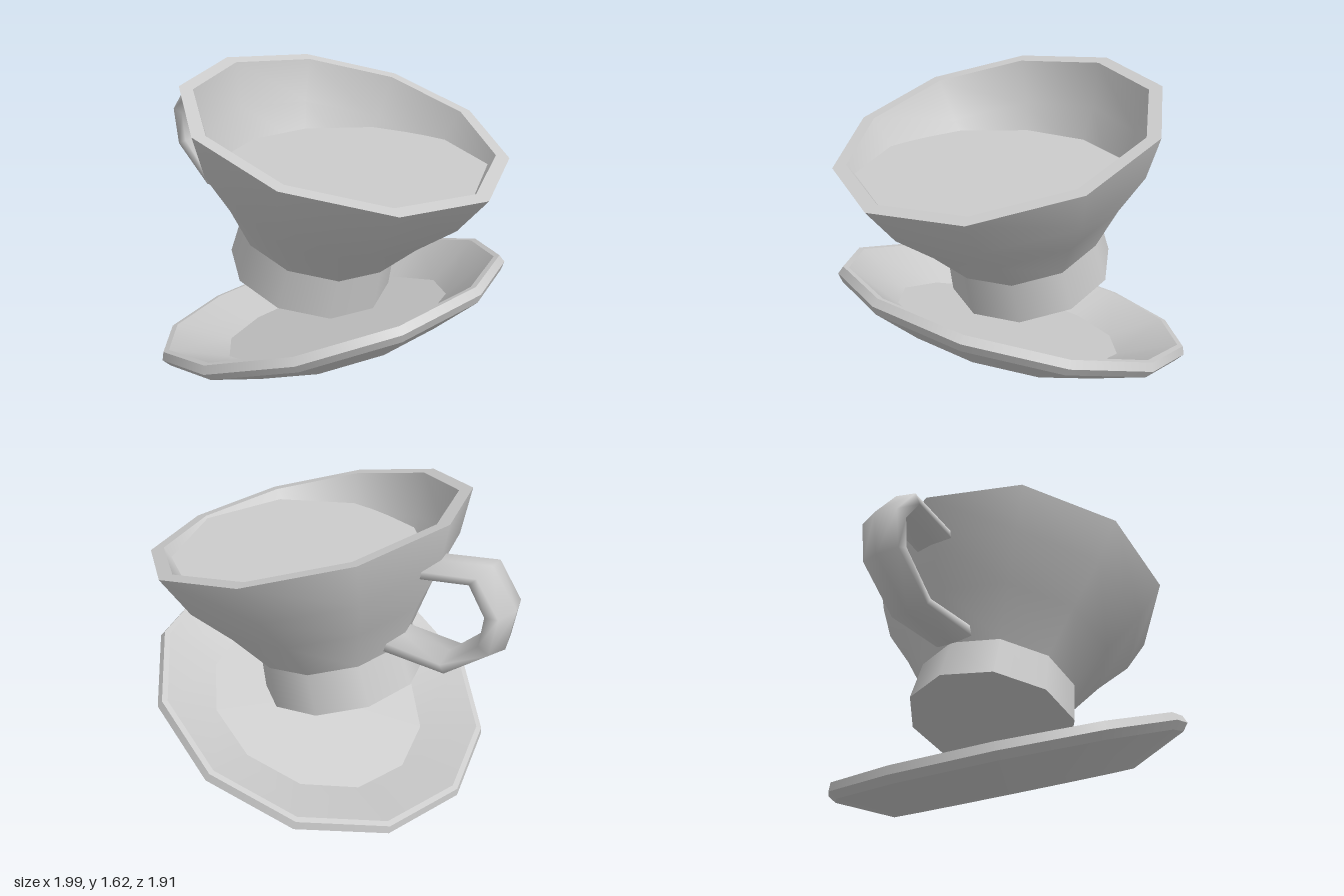
import * as THREE from 'three';
import { mergeGeometries } from 'three/addons/utils/BufferGeometryUtils.js';

const grey = () => new THREE.MeshStandardMaterial({ color: 0xcccccc });

// Turned part: every strip is its own lathe, so edges between strips stay sharp.
function turned(name, sides, strips) {
  const lathes = strips.map((strip) => new THREE.LatheGeometry(
    strip.map(([r, y]) => new THREE.Vector2(r, y)), sides, Math.PI / 2));
  const mesh = new THREE.Mesh(mergeGeometries(lathes), grey());
  mesh.name = name;
  return mesh;
}

// Hexagonal tube through pairs of outer and inner points in the xy plane.
function handleGeometry(pairs, depth) {
  const sides = 6, pos = [], index = [];
  pairs.forEach(([ox, oy, ix, iy], i) => {
    for (let j = 0; j < sides; j++) {
      const a = (j / sides) * Math.PI * 2, c = Math.cos(a) / 2;
      pos.push((ox + ix) / 2 + (ox - ix) * c, (oy + iy) / 2 + (oy - iy) * c, depth * Math.sin(a));
      if (i === pairs.length - 1) continue;
      const p = i * sides + j, q = i * sides + (j + 1) % sides;
      index.push(p, p + sides, q, q, p + sides, q + sides);
    }
  });
  const geo = new THREE.BufferGeometry();
  geo.setAttribute('position', new THREE.Float32BufferAttribute(pos, 3));
  geo.setIndex(index);
  geo.computeVertexNormals();
  return geo;
}

export function createModel() {
  const model = new THREE.Group();
  model.name = 'tiltedCupAndSaucer';

  // Saucer: base, flared underside, bevelled edge, dish and floor
  const saucer = turned('saucer', 12, [
    [[0, 0], [0.635, 0]],
    [[0.635, 0], [0.927, 0.135]],
    [[0.927, 0.135], [0.957, 0.175]],
    [[0.957, 0.175], [0.94, 0.215]],
    [[0.94, 0.215], [0.91, 0.215]],
    [[0.91, 0.215], [0.62, 0.07]],
    [[0.62, 0.07], [0, 0.07]],
  ]);
  saucer.position.set(0.148, 0.225, 0);
  saucer.rotation.z = THREE.MathUtils.degToRad(20);
  model.add(saucer);

  // Cup tilted the other way, origin at its waist
  const cup = new THREE.Group();
  cup.name = 'cup';
  cup.position.set(0.005, 0.762, 0);
  cup.rotation.z = THREE.MathUtils.degToRad(-15);
  cup.add(turned('bowl', 10, [
    [[0.42, 0], [0.574, 0.234], [0.74, 0.446], [0.838, 0.667]],
    [[0.838, 0.667], [0.768, 0.667]],
    [[0.768, 0.667], [0.675, 0.446], [0.51, 0.234], [0.36, 0.04]],
    [[0.36, 0.04], [0, 0.04]],
  ]));
  cup.add(turned('foot', 10, [
    [[0, -0.224], [0.442, -0.224]],
    [[0.442, -0.224], [0.42, 0]],
  ]));
  model.add(cup);

  // Level drink surface inside the tilted bowl
  const half = [[0.91, 0], [0.76, 0.43], [0.4, 0.655], [0.1, 0.655], [-0.08, 0.625], [-0.37, 0.36], [-0.47, 0]];
  const outline = [...half, ...half.slice(1, -1).reverse().map(([x, z]) => [x, -z])];
  const drink = new THREE.Mesh(
    new THREE.ShapeGeometry(new THREE.Shape(outline.map(([x, z]) => new THREE.Vector2(x, z)))), grey());
  drink.name = 'drink';
  drink.rotation.x = -Math.PI / 2;
  drink.position.y = 1.195;
  model.add(drink);

  // Handle, its ends sunk into the bowl wall
  const handle = new THREE.Mesh(handleGeometry([
    [-0.555, 1.425, -0.555, 1.35],
    [-0.86, 1.49, -0.79, 1.405],
    [-1.0, 1.31, -0.865, 1.285],
    [-0.97, 1.09, -0.855, 1.145],
    [-0.735, 0.885, -0.685, 0.965],
    [-0.375, 0.862, -0.385, 0.965],
  ], 0.127), grey());
  handle.name = 'handle';
  model.add(handle);

  return model;
}
